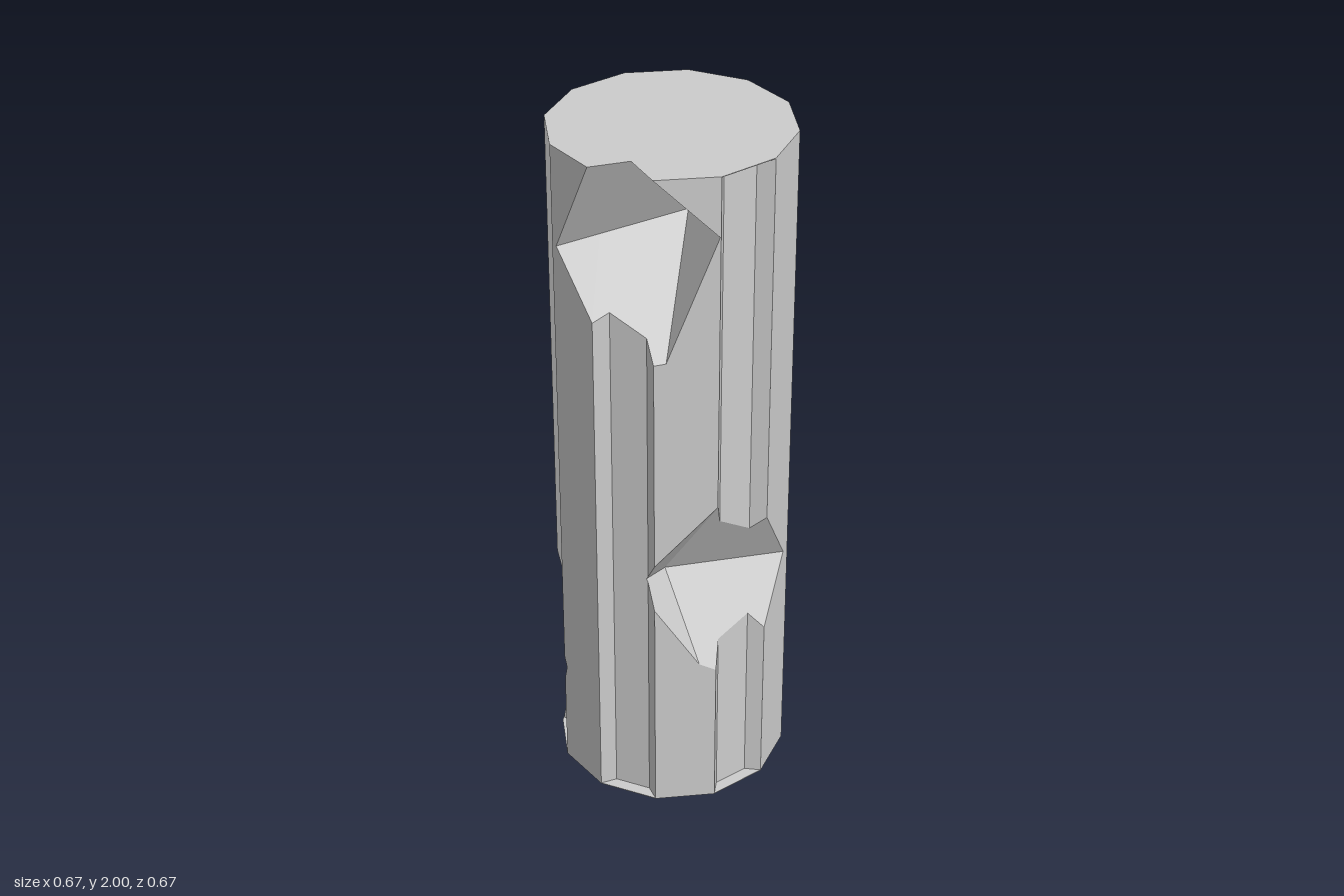
import * as THREE from 'three';
import { ConvexGeometry } from 'three/addons/geometries/ConvexGeometry.js';

const R = 1 / 3, H = 2, SIDES = 12, EPS = 1e-6;
const V = (x, y, z) => new THREE.Vector3(x, y, z);

// Convex solid: triangular faces plus their planes
function solid(points) {
  const p = new ConvexGeometry(points).attributes.position;
  const faces = [], planes = [];
  for (let i = 0; i < p.count; i += 3) {
    const f = [0, 1, 2].map(k => V().fromBufferAttribute(p, i + k));
    faces.push(f);
    planes.push(new THREE.Plane().setFromCoplanarPoints(...f));
  }
  return { faces, planes };
}

// Cut one polygon by a plane into its front and back pieces
function split(poly, plane) {
  const d = poly.map(v => plane.distanceToPoint(v));
  if (d.every(x => x <= EPS)) return [null, poly];
  if (d.every(x => x >= -EPS)) return [poly, null];
  const front = [], back = [];
  poly.forEach((a, i) => {
    const j = (i + 1) % poly.length;
    if (d[i] >= -EPS) front.push(a);
    if (d[i] <= EPS) back.push(a);
    if ((d[i] > EPS && d[j] < -EPS) || (d[i] < -EPS && d[j] > EPS)) {
      const m = a.clone().lerp(poly[j], d[i] / (d[i] - d[j]));
      front.push(m);
      back.push(m);
    }
  });
  return [front, back];
}

// Keep the pieces of the polygons inside or outside a convex solid
function clip(polys, { planes }, keepInside) {
  const kept = [];
  for (const poly of polys) {
    let rest = poly;
    for (const plane of planes) {
      const [front, back] = split(rest, plane);
      if (front && !keepInside) kept.push(front);
      rest = back;
      if (!rest) break;
    }
    if (rest && keepInside) kept.push(rest);
  }
  return kept;
}

function mesh(name, polys, material) {
  const pos = [];
  for (const p of polys)
    for (let i = 1; i < p.length - 1; i++)
      for (const v of [p[0], p[i], p[i + 1]]) pos.push(v.x, v.y, v.z);
  const g = new THREE.BufferGeometry();
  g.setAttribute('position', new THREE.Float32BufferAttribute(pos, 3));
  g.computeVertexNormals();
  const m = new THREE.Mesh(g, material);
  m.name = name;
  return m;
}

// Flute: trapezoid channel sunk into one side, stopping just short of the ends
function flute(angle) {
  const half = R * Math.sin(Math.PI / SIDES), face = R * Math.cos(Math.PI / SIDES);
  const depth = 0.034, out = 0.03, points = [];
  for (const y of [0.002, H - 0.002])
    for (const s of [-1, 1])
      for (const d of [-depth, out])
        points.push(V(s * (half + d), y, face + d).applyAxisAngle(V(0, 1, 0), angle));
  return solid(points);
}

// Chip: pyramid from its deepest point through rim points on the surface
function chip(apex, rim) {
  const a = V(...apex);
  return solid([a, ...rim.map(r => a.clone().lerp(V(...r), 3))]);
}

export function createModel() {
  const group = new THREE.Group();
  const material = new THREE.MeshStandardMaterial({ color: 0xcccccc, flatShading: true });

  const ring = [];
  for (let i = 0; i < SIDES; i++) {
    const a = i * 2 * Math.PI / SIDES;
    for (const y of [0, H]) ring.push(V(R * Math.sin(a), y, R * Math.cos(a)));
  }
  const prism = solid(ring);

  // Every other side is fluted
  const flutes = [];
  for (let i = 0; i < SIDES; i += 2) flutes.push(flute((i + 0.5) * 2 * Math.PI / SIDES));

  const chips = [
    // front, at the top edge
    chip([0.08, 1.79, 0.03], [[-0.15, 1.715, 0.293], [0.057, 2, 0.238], [0.287, 1.83, 0.168], [0.19, 1.47, 0.266]]),
    // right side, middle
    chip([0.11, 0.735, 0.17], [[0.12, 0.755, 0.267], [0.289, 1.01, 0.16], [0.297, 0.7, -0.135], [0.256, 0.48, 0.2]]),
    // left front, at the foot
    chip([-0.225, 0.36, 0.13], [[-0.306, 0.365, -0.015], [-0.289, 0.62, 0.167], [-0.155, 0.33, 0.293], [-0.295, 0, 0.14]]),
    // back, upper middle
    chip([-0.069, 1.315, -0.196], [[0.028, 1.3, -0.325], [-0.172, 1.6, -0.284], [-0.29, 1.25, -0.16], [-0.167, 1.01, -0.289]]),
  ];

  // Walls of a cut: its faces inside the shaft, outside other cuts, turned round
  const cutters = [...flutes, ...chips];
  const walls = cuts => cuts.flatMap(c => {
    let polys = clip(c.faces, prism, true);
    for (const o of cutters) if (o !== c) polys = clip(polys, o, false);
    return polys.map(p => p.slice().reverse());
  });

  const shaft = cutters.reduce((polys, c) => clip(polys, c, false), prism.faces);
  group.add(
    mesh('columnShaft', shaft, material),
    mesh('flutes', walls(flutes), material),
    mesh('chippedDamage', walls(chips), material),
  );
  return group;
}
